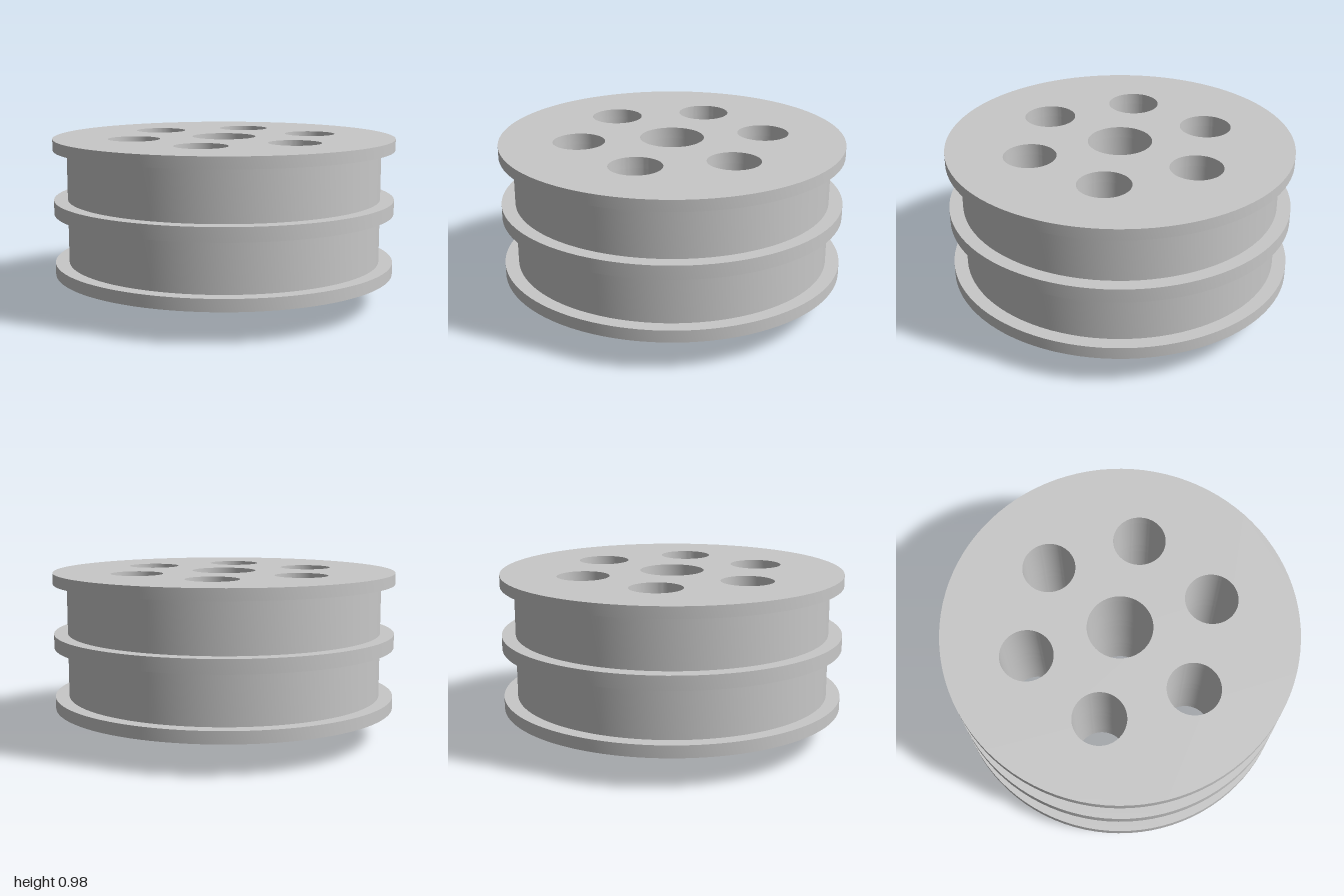
import * as THREE from 'three';
import { toCreasedNormals } from 'three/addons/utils/BufferGeometryUtils.js';

const BORE_RADIUS = 0.185;
const HOLE_RADIUS = 0.15;
const HOLE_CIRCLE = 0.54;
const HOLE_COUNT = 6;

function circlePath(x, y, r) {
  return new THREE.Path().absarc(x, y, r, 0, Math.PI * 2, true);
}

// Upright disc from y0 to y1 with a centre bore and, if asked, the ring of holes
function discGeometry(radius, y0, y1, ringHoles) {
  const shape = new THREE.Shape().absarc(0, 0, radius, 0, Math.PI * 2, false);
  shape.holes.push(circlePath(0, 0, BORE_RADIUS));
  if (ringHoles) {
    for (let i = 0; i < HOLE_COUNT; i++) {
      const a = (i / HOLE_COUNT) * Math.PI * 2;
      shape.holes.push(circlePath(HOLE_CIRCLE * Math.cos(a), HOLE_CIRCLE * Math.sin(a), HOLE_RADIUS));
    }
  }
  const geometry = new THREE.ExtrudeGeometry(shape, {
    depth: y1 - y0, bevelEnabled: false, curveSegments: 48,
  });
  geometry.rotateX(-Math.PI / 2);
  geometry.translate(0, y0, 0);
  return toCreasedNormals(geometry, Math.PI / 6);
}

export function createModel() {
  const group = new THREE.Group();
  group.name = 'doubleGroovePulley';

  const metal = new THREE.MeshStandardMaterial({ color: 0xc8c8c8 });
  metal.name = 'light grey metal';

  // name, radius, bottom, top, ring of holes
  const parts = [
    ['hub', 0.313, 0, 0.18, false],
    ['bottomFlange', 1, 0.18, 0.25, true],
    ['lowerDrum', 0.92, 0.25, 0.54, true],
    ['middleFlange', 1, 0.54, 0.62, true],
    ['upperDrum', 0.92, 0.62, 0.91, true],
    ['topFlange', 1, 0.91, 0.975, true],
  ];
  for (const [name, radius, y0, y1, ringHoles] of parts) {
    const mesh = new THREE.Mesh(discGeometry(radius, y0, y1, ringHoles), metal);
    mesh.name = name;
    group.add(mesh);
  }
  return group;
}
